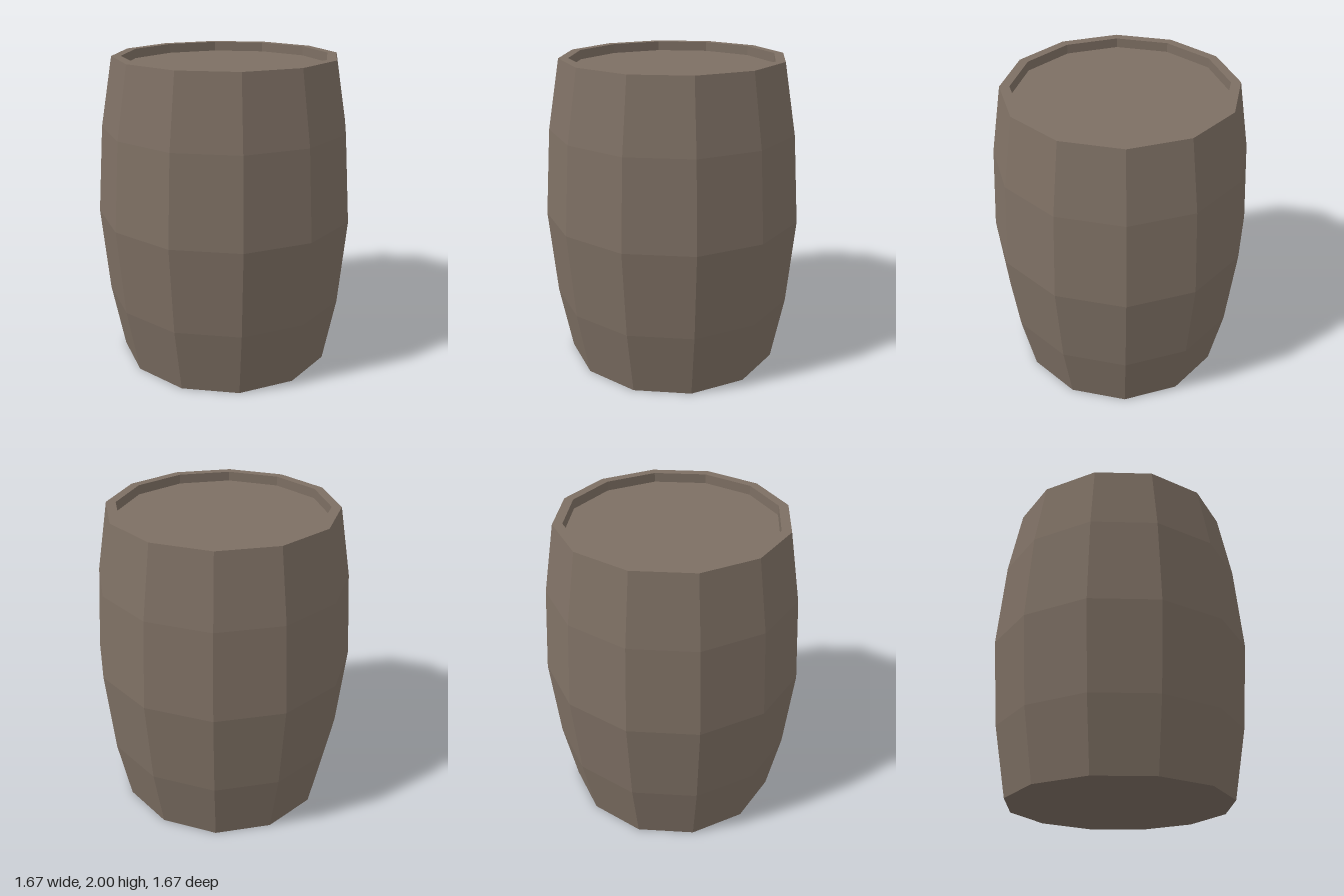
import * as THREE from 'three';

export function createModel() {
  const model = new THREE.Group();
  model.name = 'barrel';

  const wood = new THREE.MeshStandardMaterial({ color: 0x7d6f63, flatShading: true });
  wood.name = 'weathered wood';

  const SIDES = 12;
  const RIM = 0.65;      // inner radius of the rim
  const LID_Y = 1.94;    // height of the recessed lid

  // Turn a profile of [radius, height] pairs into a twelve-sided part
  const turned = (name, profile) => {
    const points = profile.map(([r, y]) => new THREE.Vector2(r, y));
    const mesh = new THREE.Mesh(new THREE.LatheGeometry(points, SIDES), wood);
    mesh.name = name;
    model.add(mesh);
  };

  // Flat disc facing up (+1) or down (-1)
  const disc = (name, radius, y, facing) => {
    const mesh = new THREE.Mesh(new THREE.CircleGeometry(radius, SIDES), wood);
    mesh.rotation.x = -facing * Math.PI / 2;
    mesh.position.y = y;
    mesh.name = name;
    model.add(mesh);
  };

  // Bulging staves
  turned('staves', [[0.71, 0], [0.79, 0.44], [0.835, 1], [0.79, 1.56], [0.71, 2]]);
  // Rim top and the short wall down to the lid
  turned('rim', [[0.71, 2], [RIM, 2], [RIM, LID_Y]]);
  disc('lid', RIM, LID_Y, 1);
  disc('base', 0.71, 0, -1);

  return model;
}
